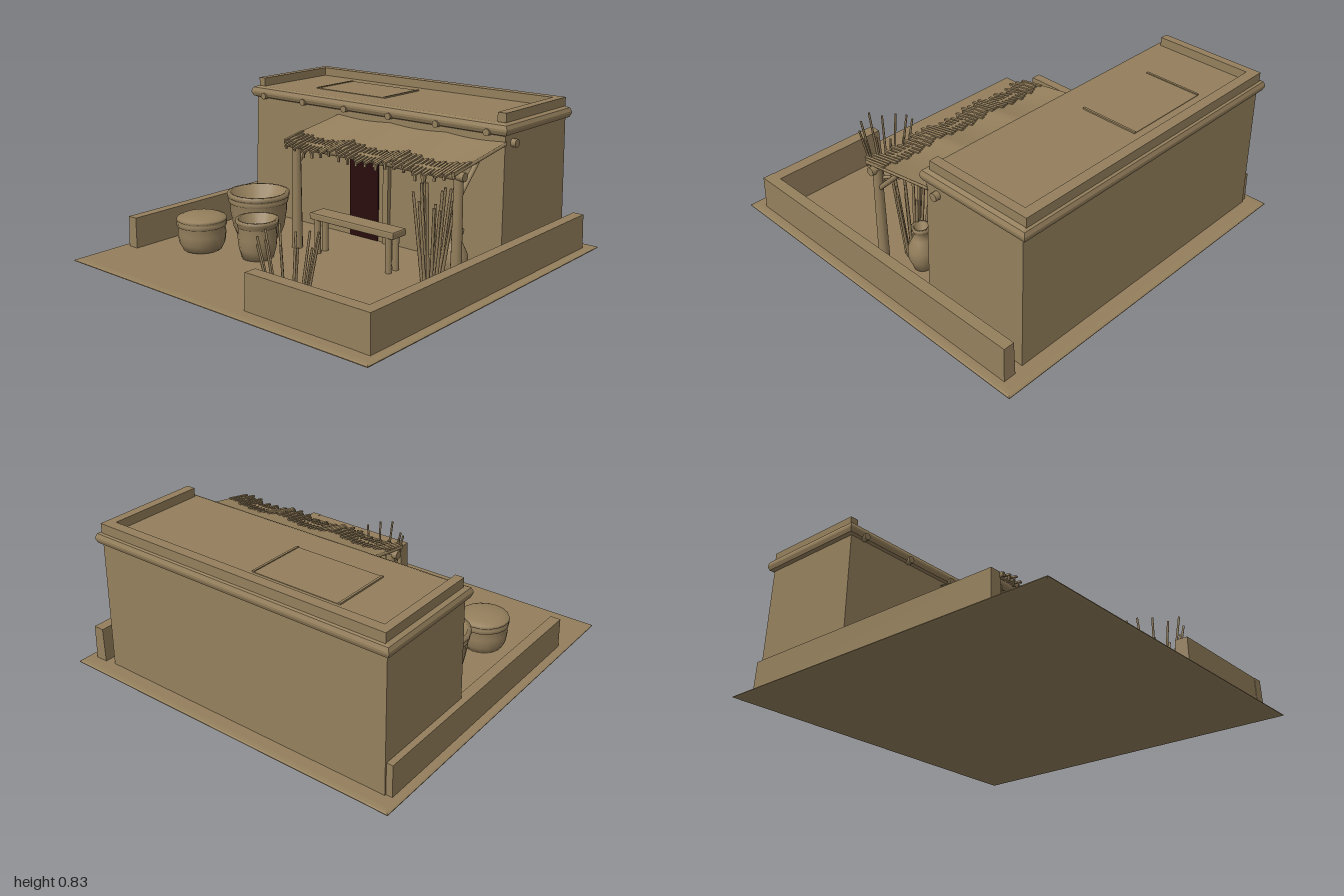
import * as THREE from 'three';

const clay = new THREE.MeshStandardMaterial({ color: 0x947f5c });
clay.name = 'clay';
const cloth = clay.clone();
cloth.name = 'clay two sided';
cloth.side = THREE.DoubleSide;
const dark = new THREE.MeshStandardMaterial({ color: 0x2a0d0d });
dark.name = 'dark doorway';

export function createModel() {
  const model = new THREE.Group();
  model.name = 'courtyardHouse';

  const add = (name, geo, mat = clay) => {
    const mesh = new THREE.Mesh(geo, mat);
    mesh.name = name;
    model.add(mesh);
    return mesh;
  };
  // Box given by its limits
  const box = (name, x0, x1, y0, y1, z0, z1, mat) =>
    add(name, new THREE.BoxGeometry(x1 - x0, y1 - y0, z1 - z0), mat)
      .position.set((x0 + x1) / 2, (y0 + y1) / 2, (z0 + z1) / 2);
  // Round pole between two points
  const pole = (name, a, b, r, r2 = r, sides = 10) => {
    const p = new THREE.Vector3(...a), q = new THREE.Vector3(...b);
    const d = q.clone().sub(p);
    const mesh = add(name, new THREE.CylinderGeometry(r2, r, d.length(), sides));
    mesh.position.copy(p).add(q).multiplyScalar(0.5);
    mesh.quaternion.setFromUnitVectors(new THREE.Vector3(0, 1, 0), d.normalize());
  };
  // Horizontal slab with chamfered edges
  const slab = (name, x0, x1, y0, y1, z0, z1, b, bt = b) => {
    const s = new THREE.Shape();
    s.moveTo(x0 + b, -z1 + b);
    s.lineTo(x1 - b, -z1 + b);
    s.lineTo(x1 - b, -z0 - b);
    s.lineTo(x0 + b, -z0 - b);
    const geo = new THREE.ExtrudeGeometry(s, {
      depth: y1 - y0 - 2 * bt, bevelSize: b, bevelThickness: bt, bevelSegments: 2,
    });
    geo.rotateX(-Math.PI / 2).translate(0, y0 + bt, 0);
    return add(name, geo);
  };
  // Box narrowing towards its top
  const tapered = (name, x0, x1, y0, y1, z0, z1, inset) => {
    const geo = new THREE.BoxGeometry(x1 - x0, y1 - y0, z1 - z0);
    const p = geo.attributes.position;
    for (let i = 0; i < p.count; i++) {
      if (p.getY(i) > 0) {
        p.setX(i, p.getX(i) - Math.sign(p.getX(i)) * inset);
        p.setZ(i, p.getZ(i) - Math.sign(p.getZ(i)) * inset);
      }
    }
    geo.computeVertexNormals();
    add(name, geo).position.set((x0 + x1) / 2, (y0 + y1) / 2, (z0 + z1) / 2);
  };

  // Ground and courtyard walls
  slab('ground', -1, 1, 0, 0.016, -1, 1, 0.03, 0.006);
  tapered('leftYardWall', -0.955, -0.89, 0.01, 0.185, -0.9, 0.67, 0.004);
  tapered('rightYardWall', 0.88, 0.95, 0.01, 0.205, -0.92, 0.92, 0.005);
  tapered('frontYardWall', 0.2, 0.945, 0.01, 0.204, 0.84, 0.918, 0.005);

  // House body, cornice and parapet on three sides
  tapered('houseBody', -0.92, 0.825, 0.01, 0.75, -0.908, -0.283, 0.012);
  slab('cornice', -0.935, 0.835, 0.72, 0.787, -0.925, -0.27, 0.028);
  box('backParapet', -0.905, 0.805, 0.77, 0.835, -0.905, -0.85);
  box('leftParapet', -0.905, -0.86, 0.77, 0.835, -0.85, -0.31);
  box('rightParapet', 0.755, 0.805, 0.77, 0.835, -0.85, -0.31);
  for (const x of [-0.565, -0.07]) box('roofHatchRail', x - 0.006, x + 0.006, 0.78, 0.795, -0.77, -0.45);
  box('roofHatch', -0.565, -0.07, 0.78, 0.79, -0.77, -0.45);

  // Roof beam ends
  for (let i = 0; i < 6; i++) {
    const x = -0.83 + 0.31 * i;
    pole('roofBeam', [x, 0.735, -0.4], [x, 0.735, -0.262], 0.019);
  }

  // Doorway with jamb
  box('doorway', -0.172, 0.03, 0.016, 0.6, -0.286, -0.278, dark);
  box('doorJamb', 0.075, 0.11, 0.016, 0.6, -0.29, -0.262);

  // Awning frame
  for (const x of [-0.24, 0.8]) {
    pole('awningPost', [x, 0.01, 0.085], [x, 0.6, 0.085], 0.03, 0.024);
    pole('awningBrace', [x, 0.49, 0.075], [x, 0.635, -0.07], 0.013);
  }
  pole('frontBeam', [-0.285, 0.595, 0.09], [0.84, 0.595, 0.09], 0.023);
  pole('backBeam', [-0.28, 0.68, -0.365], [0.842, 0.68, -0.365], 0.022);
  const roofY = (z) => 0.69 - 0.155 * (z + 0.3);
  for (const x of [-0.26, 0.1, 0.45, 0.81]) {
    pole('awningRafter', [x, roofY(-0.3) - 0.008, -0.3], [x, roofY(0.15) - 0.008, 0.15], 0.01);
  }

  // Sagging awning cover, three bays wide
  const sag = (x, z) => roofY(z) - 0.028 * Math.abs(Math.sin(Math.PI * (x + 0.27) / 0.363)) * (0.35 + 0.65 * (z + 0.3) / 0.42);
  const cover = new THREE.PlaneGeometry(1.09, 0.42, 36, 6);
  cover.rotateX(-Math.PI / 2).translate(0.275, 0, -0.09);
  const cp = cover.attributes.position;
  for (let i = 0; i < cp.count; i++) cp.setY(i, sag(cp.getX(i), cp.getZ(i)) + 0.006);
  cover.computeVertexNormals();
  add('awningCover', cover, cloth);

  // Uneven fringe of reeds along the front edge
  const count = 46;
  for (let i = 0; i < count; i++) {
    const x = -0.262 + (1.074 * i) / (count - 1);
    const z0 = 0.01 + 0.02 * ((i * 5) % 3) / 2;
    const z1 = 0.15 + 0.045 * ((i * 7) % 5) / 4;
    const y0 = sag(x, z0) + 0.008, y1 = sag(x, 0.12) - 0.155 * (z1 - 0.12) + 0.004;
    const reed = add('awningReed', new THREE.BoxGeometry(0.015, 0.01, Math.hypot(z1 - z0, y1 - y0)));
    reed.position.set(x, (y0 + y1) / 2, (z0 + z1) / 2);
    reed.rotation.x = Math.atan2(y0 - y1, z1 - z0);
    if (i % 2) box('hangingReed', x - 0.006, x + 0.006, y1 - 0.03, y1 + 0.003, z1 - 0.014, z1 - 0.005);
  }

  // Bench
  slab('benchSeat', -0.125, 0.435, 0.203, 0.243, 0, 0.11, 0.008);
  for (const x of [-0.09, 0.39]) {
    for (const z of [0.025, 0.085]) pole('benchLeg', [x, 0.01, z], [x, 0.21, z], 0.018);
  }

  // Turned vessels
  const vessel = (name, x, z, points) => {
    const geo = new THREE.LatheGeometry(points.map(([r, y]) => new THREE.Vector2(r, y)), 18);
    add(name, geo, cloth).position.set(x, 0, z);
  };
  vessel('largeBasket', -0.55, 0.07, [[0, 0.016], [0.12, 0.016], [0.145, 0.08], [0.16, 0.17], [0.16, 0.215],
    [0.168, 0.22], [0.168, 0.24], [0.163, 0.245], [0.175, 0.252], [0.175, 0.274], [0.155, 0.276], [0.145, 0.24], [0, 0.1]]);
  vessel('smallBasket', -0.29, 0.34, [[0, 0.016], [0.085, 0.016], [0.1, 0.07], [0.106, 0.13], [0.1, 0.185],
    [0.108, 0.19], [0.108, 0.205], [0.116, 0.213], [0.116, 0.23], [0.1, 0.23], [0.09, 0.19], [0, 0.08]]);
  vessel('liddedBasket', -0.615, 0.44, [[0, 0.02], [0.105, 0.02], [0.125, 0.06], [0.131, 0.11], [0.125, 0.15],
    [0.135, 0.155], [0.135, 0.175], [0.128, 0.182], [0.137, 0.188], [0.132, 0.2], [0.1, 0.212], [0.05, 0.22], [0, 0.222]]);
  vessel('waterJar', 0.68, -0.07, [[0, 0.016], [0.045, 0.016], [0.07, 0.08], [0.072, 0.14], [0.045, 0.2],
    [0.032, 0.225], [0.045, 0.25], [0.05, 0.27], [0.035, 0.27], [0.025, 0.22], [0, 0.2]]);

  // Stakes leaning outward in a ring
  for (let i = 0; i < 12; i++) {
    const a = (i / 12) * Math.PI * 2, c = Math.cos(a), s = Math.sin(a);
    const top = 0.31 + 0.045 * ((i * 5) % 4) / 3;
    pole('ringStake', [0.27 + 0.085 * c, 0.01, 0.69 + 0.085 * s], [0.27 + 0.15 * c, top, 0.69 + 0.15 * s], 0.007, 0.006, 6);
  }
  const band = add('stakeBand', new THREE.TorusGeometry(0.094, 0.011, 6, 20));
  band.rotation.x = Math.PI / 2;
  band.position.set(0.27, 0.05, 0.69);

  // Bundle of long sticks by the awning post
  for (let i = 0; i < 14; i++) {
    const a = i * 2.4, r = 0.35 + 0.65 * Math.sqrt(i / 13);
    const c = Math.cos(a) * r, s = Math.sin(a) * r;
    const top = 0.39 + 0.16 * ((i * 5) % 7) / 6;
    pole('leaningStick', [0.63 + 0.05 * c, 0.01, 0.05 + 0.05 * s], [0.63 + 0.115 * c, top, 0.045 + 0.11 * s], 0.009, 0.007, 6);
  }

  return model;
}
